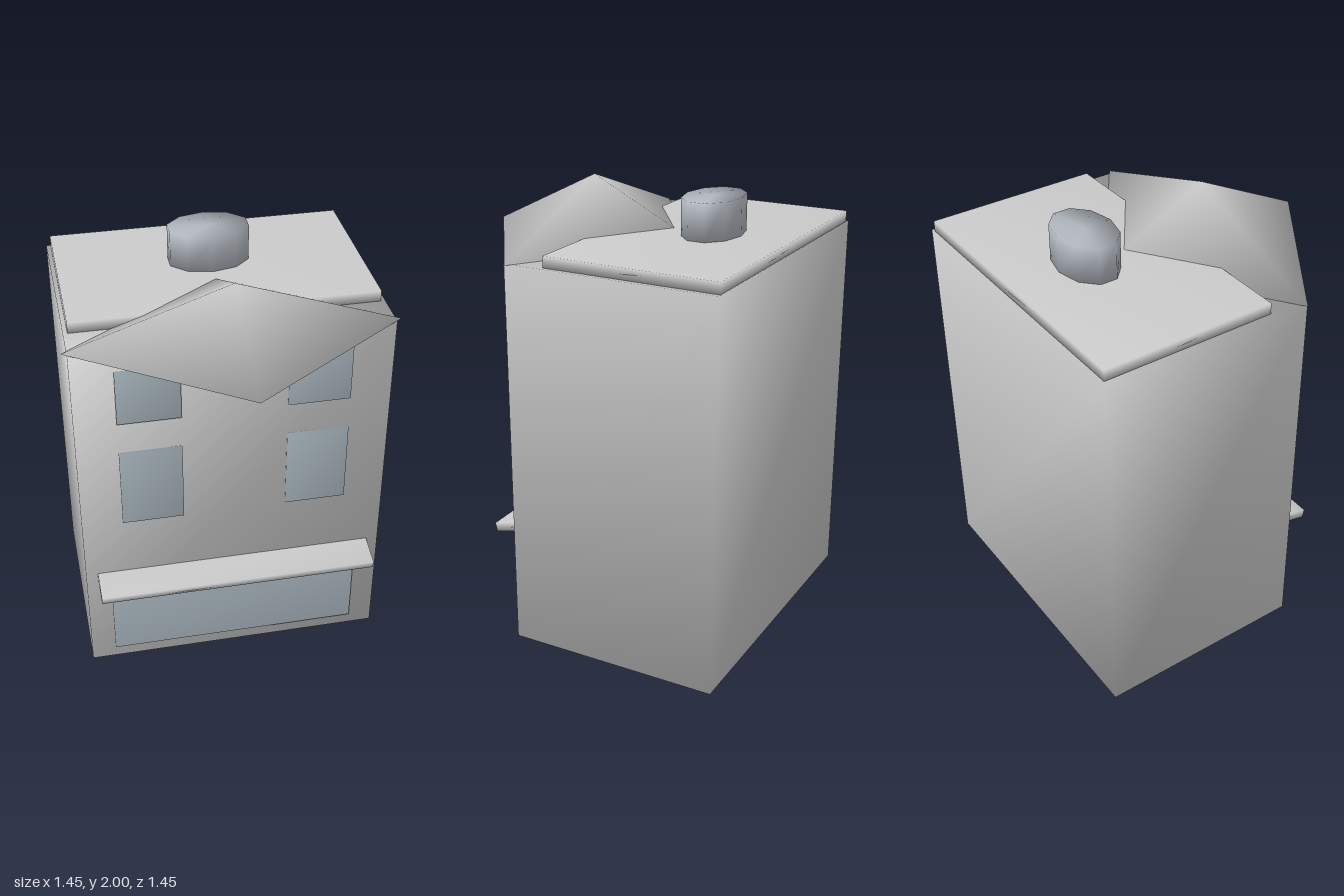
import * as THREE from 'three';
import { mergeVertices } from 'three/addons/utils/BufferGeometryUtils.js';

const wall = new THREE.MeshStandardMaterial({ color: 0xcccccc });
const glass = new THREE.MeshStandardMaterial({ color: 0xbccad4 });
const flue = new THREE.MeshStandardMaterial({ color: 0xb0b6be });

// Weld corners so the shading runs softly across the edges
function soften(geometry) {
  geometry.deleteAttribute('uv');
  geometry.deleteAttribute('normal');
  const welded = mergeVertices(geometry, 1e-4);
  welded.computeVertexNormals();
  return welded;
}

function addPart(group, name, geometry, material) {
  const mesh = new THREE.Mesh(soften(geometry), material);
  mesh.name = name;
  group.add(mesh);
  return mesh;
}

// Box given by its lower and upper limits on each axis
function addBox(group, name, [x0, x1], [y0, y1], [z0, z1], material = wall) {
  const mesh = addPart(group, name, new THREE.BoxGeometry(x1 - x0, y1 - y0, z1 - z0), material);
  mesh.position.set((x0 + x1) / 2, (y0 + y1) / 2, (z0 + z1) / 2);
  return mesh;
}

export function createModel() {
  const model = new THREE.Group();
  model.name = 'townhouse';

  // Main block and flat roof slab
  addBox(model, 'building', [-0.7, 0.7], [0, 1.75], [-0.725, 0.245]);
  addBox(model, 'roofSlab', [-0.68, 0.68], [1.75, 1.8], [-0.72, 0.07]);

  // Four-sided pointed roof over the front
  const roof = new THREE.ConeGeometry(1, 0.25, 4);
  roof.scale(0.725, 1, 0.5);
  addPart(model, 'gableRoof', roof, wall).position.set(0, 1.875, 0.225);

  // Oval ten-sided chimney
  const chimney = new THREE.CylinderGeometry(1, 1, 0.165, 10);
  chimney.scale(0.187, 1, 0.128);
  addPart(model, 'chimney', chimney, flue).position.set(0, 1.8825, -0.367);

  // Two rows of windows, mirrored left and right
  for (const [name, range] of [['lowerWindow', [0.84, 1.23]], ['upperWindow', [1.385, 1.65]]]) {
    addBox(model, name + 'Left', [0.235, 0.515], range, [0.235, 0.253], glass);
    addBox(model, name + 'Right', [-0.515, -0.235], range, [0.235, 0.253], glass);
  }

  // Shop window with a sloping awning
  addBox(model, 'shopWindow', [-0.587, 0.587], [0.06, 0.427], [0.235, 0.253], glass);
  const awning = addBox(model, 'awning', [-0.645, 0.645], [0.49, 0.53], [0.19, 0.37]);
  awning.position.set(0, 0.516, 0.292);
  awning.rotation.x = 0.23;

  return model;
}
